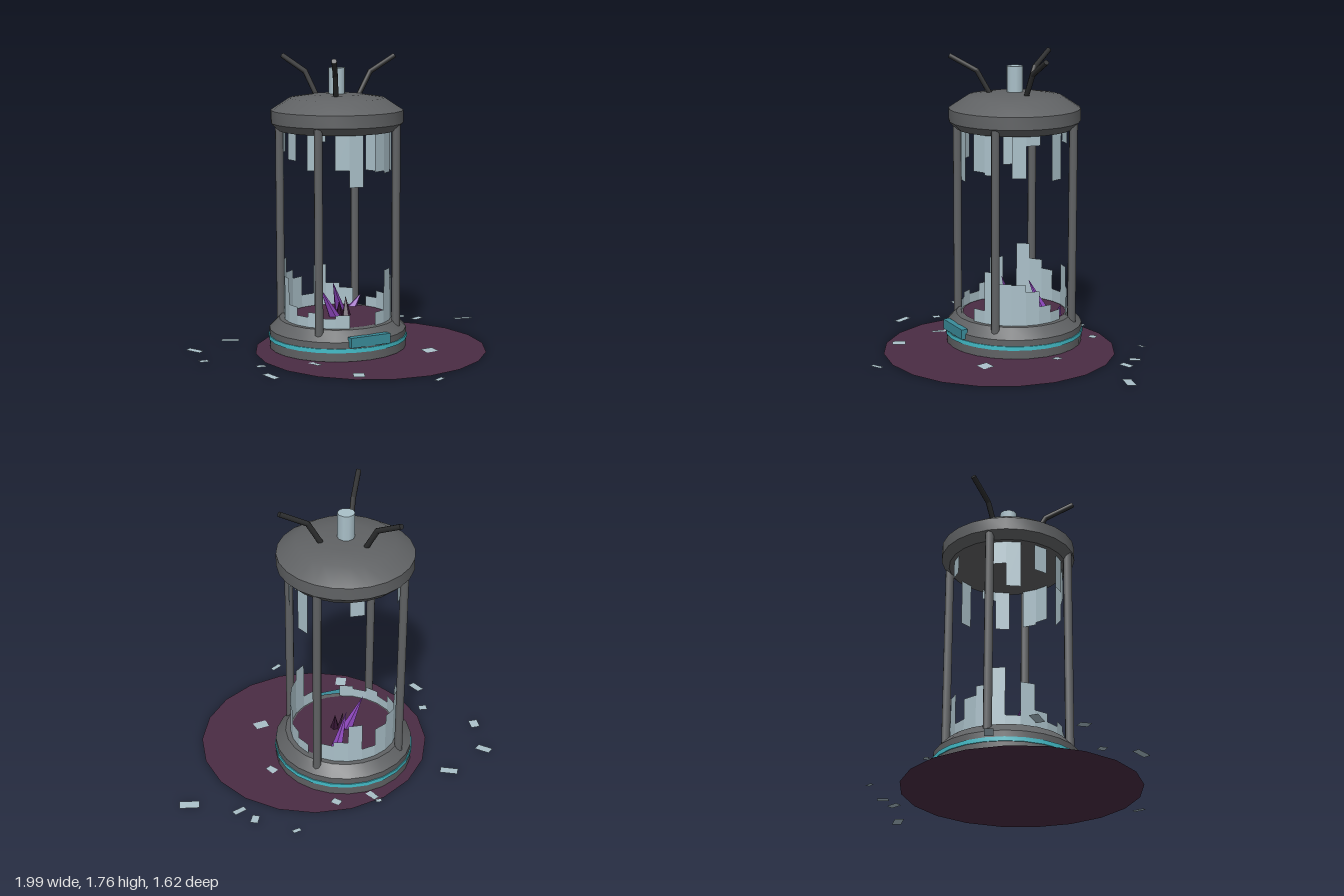
import * as THREE from 'three';
import { toCreasedNormals } from 'three/addons/utils/BufferGeometryUtils.js';

const CX = -0.1, CZ = -0.19; // tank axis
const mat = (name, color, side = THREE.FrontSide) => {
  const m = new THREE.MeshStandardMaterial({ color, side });
  m.name = name;
  return m;
};

export function createModel() {
  const metal = mat('grey metal', 0x606264);
  const dark = mat('dark metal', 0x2c2d2e);
  const glass = mat('pale glass', 0xaac0c9, THREE.DoubleSide);
  const teal = mat('teal light', 0x42bcc8);
  const screen = mat('dim teal', 0x3a8c9a);
  const sludge = mat('dark plum', 0x4a2c44, THREE.DoubleSide);
  const purple = mat('purple crystal', 0x8a45b8);
  const deep = mat('deep purple crystal', 0x3a1838);

  const model = new THREE.Group();
  const tank = new THREE.Group();
  tank.name = 'tank';
  tank.position.set(CX, 0, CZ);
  model.add(tank);

  const add = (parent, name, geometry, material, x = 0, y = 0, z = 0) => {
    const mesh = new THREE.Mesh(geometry, material);
    mesh.name = name;
    mesh.position.set(x, y, z);
    parent.add(mesh);
    return mesh;
  };
  const lathe = (points) => toCreasedNormals(
    new THREE.LatheGeometry(points.map(([r, y]) => new THREE.Vector2(r, y)), 24), 0.45);
  const up = new THREE.Vector3(0, 1, 0);
  // Rod or cone running from a to b
  const between = (parent, name, a, b, r0, r1, sides, material) => {
    const from = new THREE.Vector3(...a), dir = new THREE.Vector3(...b).sub(from);
    let g = new THREE.CylinderGeometry(r1, r0, dir.length(), sides);
    if (r1 === 0) {
      g = g.toNonIndexed();
      g.computeVertexNormals();
    }
    const mesh = add(parent, name, g, material);
    mesh.position.copy(from).addScaledVector(dir, 0.5);
    mesh.quaternion.setFromUnitVectors(up, dir.normalize());
  };

  // Base with light ring, control panel and floor of the tank
  add(tank, 'base', lathe([[0, 0.015], [0.415, 0.015], [0.415, 0.13], [0.355, 0.19], [0, 0.19]]), metal);
  add(tank, 'lightRing', lathe([[0.41, 0.068], [0.421, 0.068], [0.421, 0.092], [0.41, 0.092]]), teal);
  add(tank, 'controlPanel', new THREE.BoxGeometry(0.26, 0.06, 0.04), screen, 0, 0.13, 0.398);
  add(tank, 'tankFloor', new THREE.CircleGeometry(0.315, 24).rotateX(-Math.PI / 2), sludge, 0, 0.194, 0);

  // Cap and the broken pipe stub on it
  add(tank, 'cap', lathe([[0, 1.33], [0.35, 1.33], [0.395, 1.375], [0.395, 1.45],
    [0.285, 1.522], [0.15, 1.542], [0, 1.548]]), metal);
  add(tank, 'pipeStub', new THREE.CylinderGeometry(0.05, 0.05, 0.18, 10), glass, 0, 1.61, 0);

  // Four corner posts
  for (let i = 0; i < 4; i++) {
    const a = Math.PI / 4 + i * Math.PI / 2;
    add(tank, 'post', new THREE.CylinderGeometry(0.026, 0.026, 1.25, 8), metal,
      0.365 * Math.cos(a), 0.755, 0.365 * Math.sin(a));
  }

  // Three bent cables on the cap
  for (let i = 0; i < 3; i++) {
    const a = i * Math.PI * 2 / 3;
    const p = (r, y) => [r * Math.cos(a), y, r * Math.sin(a)];
    between(tank, 'cableLower', p(0.14, 1.52), p(0.228, 1.675), 0.016, 0.016, 8, dark);
    between(tank, 'cableUpper', p(0.222, 1.668), p(0.39, 1.76), 0.016, 0.016, 8, dark);
  }

  // Broken glass wall: 24 panes, each with a lower top edge and an upper bottom edge
  const lower = [0.3, 0.255, 0, 0.3, 0.33, 0.45, 0.27, 0.39, 0.445, 0.54, 0.255, 0.455,
    0.3, 0.25, 0.28, 0.25, 0.27, 0, 0, 0.27, 0.51, 0.445, 0.44, 0.395];
  const upper = [0, 1.05, 0, 0, 0, 1.22, 0, 0, 0, 1.19, 1.045, 0,
    1.17, 0, 1.12, 0, 1.125, 1.025, 0, 1.105, 1.09, 0, 1.08, 1.27];
  const R = 0.325, step = Math.PI / 12;
  const pane = (name, k, y0, y1) => {
    const a = (k + 0.5) * step;
    const r = R * Math.cos(step / 2);
    const mesh = add(tank, name, new THREE.PlaneGeometry(2 * R * Math.sin(step / 2), y1 - y0), glass,
      r * Math.cos(a), (y0 + y1) / 2, -r * Math.sin(a));
    mesh.rotation.y = a + Math.PI / 2;
  };
  for (let k = 0; k < 24; k++) {
    if (lower[k]) pane('lowerGlass', k, 0.185, lower[k]);
    if (upper[k]) pane('upperGlass', k, upper[k], 1.335);
  }

  // Crystals growing in the tank
  const crystals = [
    [[-0.12, 0.18, -0.19], [-0.23, 0.385, -0.17], 0.035, purple],
    [[0, 0.18, -0.35], [-0.085, 0.385, -0.28], 0.035, purple],
    [[-0.08, 0.18, -0.2], [-0.1, 0.29, -0.17], 0.03, deep],
    [[-0.05, 0.18, -0.17], [-0.04, 0.31, -0.2], 0.03, deep],
    [[0.1, 0.18, -0.38], [0.16, 0.27, -0.37], 0.03, purple],
  ];
  for (const [a, b, r, m] of crystals) between(model, 'crystal', a, b, r, 0, 5, m);

  // Spilled puddle
  add(model, 'puddle', new THREE.CircleGeometry(0.697, 20).rotateX(-Math.PI / 2), sludge, 0.035, 0.012, -0.02);

  // Scattered glass: x, z, width, depth, turn in degrees
  const debris = [
    [0.4, -0.8, 0.05, 0.025, 10], [0.6, -0.63, 0.045, 0.065, -30], [0.665, -0.53, 0.08, 0.04, 18],
    [0.93, -0.385, 0.115, 0.055, -15], [0.1, -0.635, 0.045, 0.055, 40], [-0.12, -0.65, 0.04, 0.08, 20],
    [-0.14, -0.705, 0.035, 0.025, -15], [-0.64, -0.585, 0.105, 0.05, -28], [-0.925, -0.46, 0.05, 0.095, 38],
    [-0.97, -0.21, 0.055, 0.065, -5], [-0.725, 0.05, 0.05, 0.045, -10], [-0.765, 0.27, 0.045, 0.1, 18],
    [-0.43, 0.16, 0.035, 0.11, 5], [-0.32, 0.485, 0.065, 0.08, -25], [0.31, 0.21, 0.085, 0.07, 5],
    [0.375, -0.23, 0.045, 0.06, 30], [0.035, 0.775, 0.075, 0.03, 28],
  ];
  debris.forEach(([x, z, w, d, turn], i) => {
    const g = new THREE.PlaneGeometry(w, d).rotateX(-Math.PI / 2 + 0.08 * (i % 3 - 1));
    add(model, 'glassShard', g, glass, x, 0.018, z).rotation.y = turn * Math.PI / 180;
  });

  return model;
}
